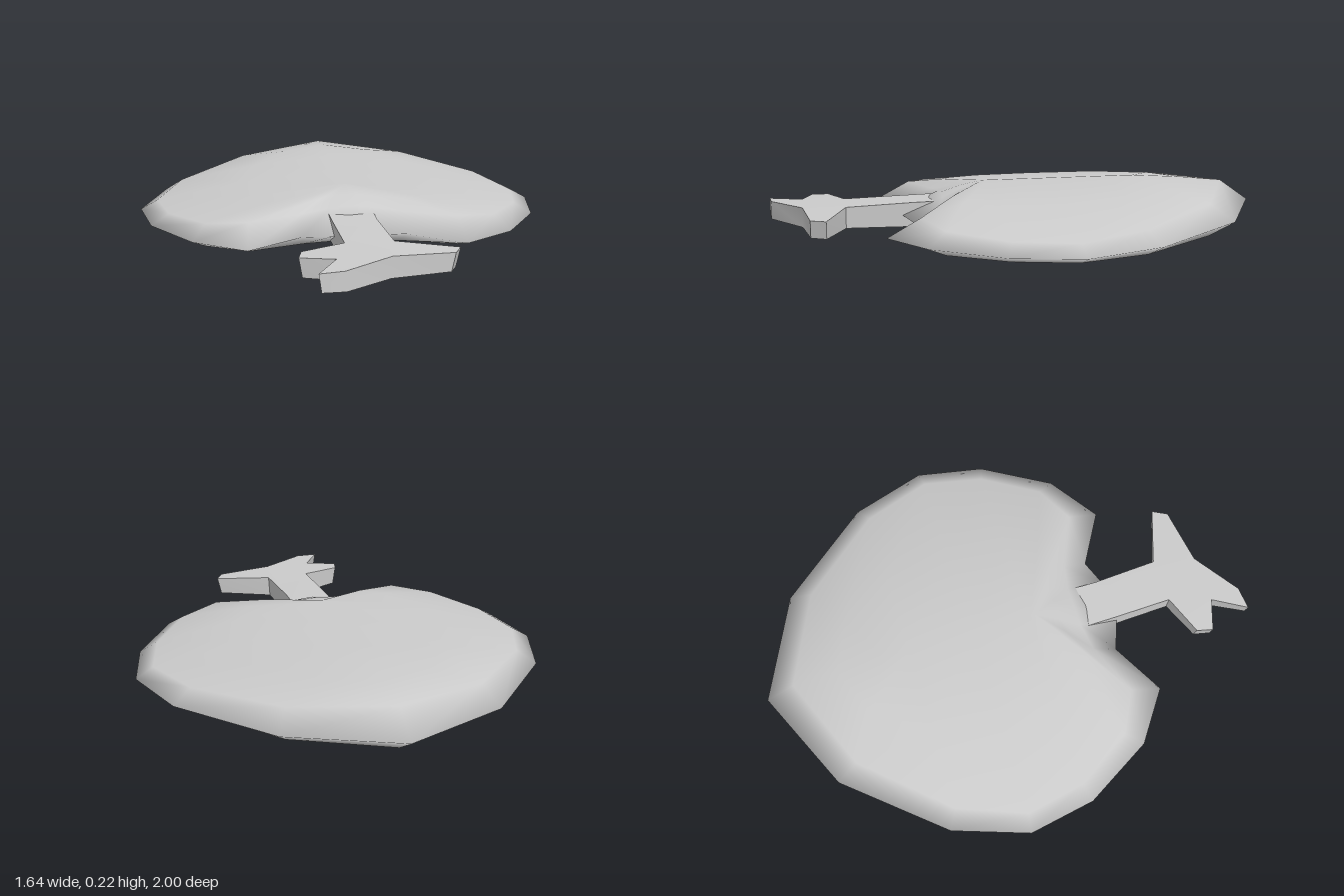
import * as THREE from 'three';
import { mergeVertices, toCreasedNormals } from 'three/addons/utils/BufferGeometryUtils.js';

const material = new THREE.MeshStandardMaterial({ color: 0xcccccc });

// Right half of the leaf: rim x, y, z, then shoulder x, z, top y, bottom y
const half = [
  [0, 0.11, -1, 0, -0.88, 0.195, 0.035],
  [0.41, 0.10, -0.81, 0.37, -0.72, 0.166, 0.04],
  [0.72, 0.085, -0.44, 0.65, -0.40, 0.135, 0.043],
  [0.82, 0.075, -0.14, 0.75, -0.13, 0.115, 0.045],
  [0.77, 0.075, 0.13, 0.70, 0.11, 0.118, 0.045],
  [0.61, 0.08, 0.40, 0.56, 0.33, 0.132, 0.043],
  [0.41, 0.08, 0.54, 0.40, 0.41, 0.152, 0.04],
  [0.20, 0.09, 0.42, 0.19, 0.32, 0.155, 0.035],
  [0.09, 0.10, 0.46, 0.08, 0.30, 0.168, 0.035],
  [0, 0.10, 0.47, 0, 0.30, 0.175, 0.03],
];
const mirrored = half.slice(1, -1).reverse().map(([x, y, z, sx, ...rest]) => [-x, y, z, -sx, ...rest]);
const spokes = [...half, ...mirrored];

// Each spoke runs from the top spine, over the rim, to the bottom spine
function spokePoints([rx, ry, rz, sx, sz, top, bottom]) {
  const spineZ = THREE.MathUtils.clamp(sz, -0.5, 0.13);
  const t = (spineZ + 0.5) / 0.63;
  const ridge = 0.225 - 0.005 * t, keel = 0.01 * t;
  const midX = sx * 0.52, midZ = THREE.MathUtils.lerp(spineZ, sz, 0.52);
  return [
    [0, ridge, spineZ],
    [midX, THREE.MathUtils.lerp(ridge, top, 0.40), midZ],
    [sx, top, sz],
    [rx, ry, rz],
    [sx, bottom, sz],
    [midX, THREE.MathUtils.lerp(keel, bottom, 0.40), midZ],
    [0, keel, spineZ],
  ];
}

function leafGeometry() {
  const rows = spokes.map(spokePoints);
  const positions = rows.flat(2);
  const n = rows[0].length, index = [];
  for (let i = 0; i < rows.length; i++) {
    const a = i * n, b = ((i + 1) % rows.length) * n;
    for (let j = 0; j < n - 1; j++) {
      index.push(a + j, b + j, b + j + 1, a + j, b + j + 1, a + j + 1);
    }
  }
  let geometry = new THREE.BufferGeometry();
  geometry.setAttribute('position', new THREE.Float32BufferAttribute(positions, 3));
  geometry.setIndex(index);
  geometry = mergeVertices(geometry, 1e-4);
  geometry.computeVertexNormals();
  return geometry;
}

// Stalk with a forked end, drawn from above as x, z
const stalkOutline = [
  [-0.09, 0.30], [-0.085, 0.46], [-0.075, 0.69], [-0.235, 0.755], [-0.25, 0.82], [-0.125, 0.86],
  [-0.20, 0.995], [-0.11, 0.985], [0.07, 0.855], [0.30, 0.82], [0.33, 0.76],
  [0.105, 0.685], [0.085, 0.42], [0.085, 0.30],
];

function stalkGeometry() {
  const shape = new THREE.Shape(stalkOutline.map(([x, z]) => new THREE.Vector2(x, z)));
  const geometry = new THREE.ExtrudeGeometry(shape, { depth: 1, bevelEnabled: false });
  geometry.rotateX(Math.PI / 2);
  // Thin the stalk towards its tip and arms
  const p = geometry.attributes.position;
  for (let i = 0; i < p.count; i++) {
    const x = Math.abs(p.getX(i)), t = (p.getZ(i) - 0.4) / 0.6;
    const isTop = p.getY(i) > -0.5;
    p.setY(i, isTop ? 0.154 - 0.017 * t - 0.03 * x : 0.05 + 0.01 * t + 0.02 * x);
    if (!isTop) p.setX(i, p.getX(i) * 0.95);
  }
  return toCreasedNormals(geometry, Math.PI / 4);
}

export function createModel() {
  const group = new THREE.Group();
  const addPart = (name, geometry) => {
    const mesh = new THREE.Mesh(geometry, material);
    mesh.name = name;
    group.add(mesh);
  };
  addPart('leaf', leafGeometry());
  addPart('stalk', stalkGeometry());
  return group;
}
